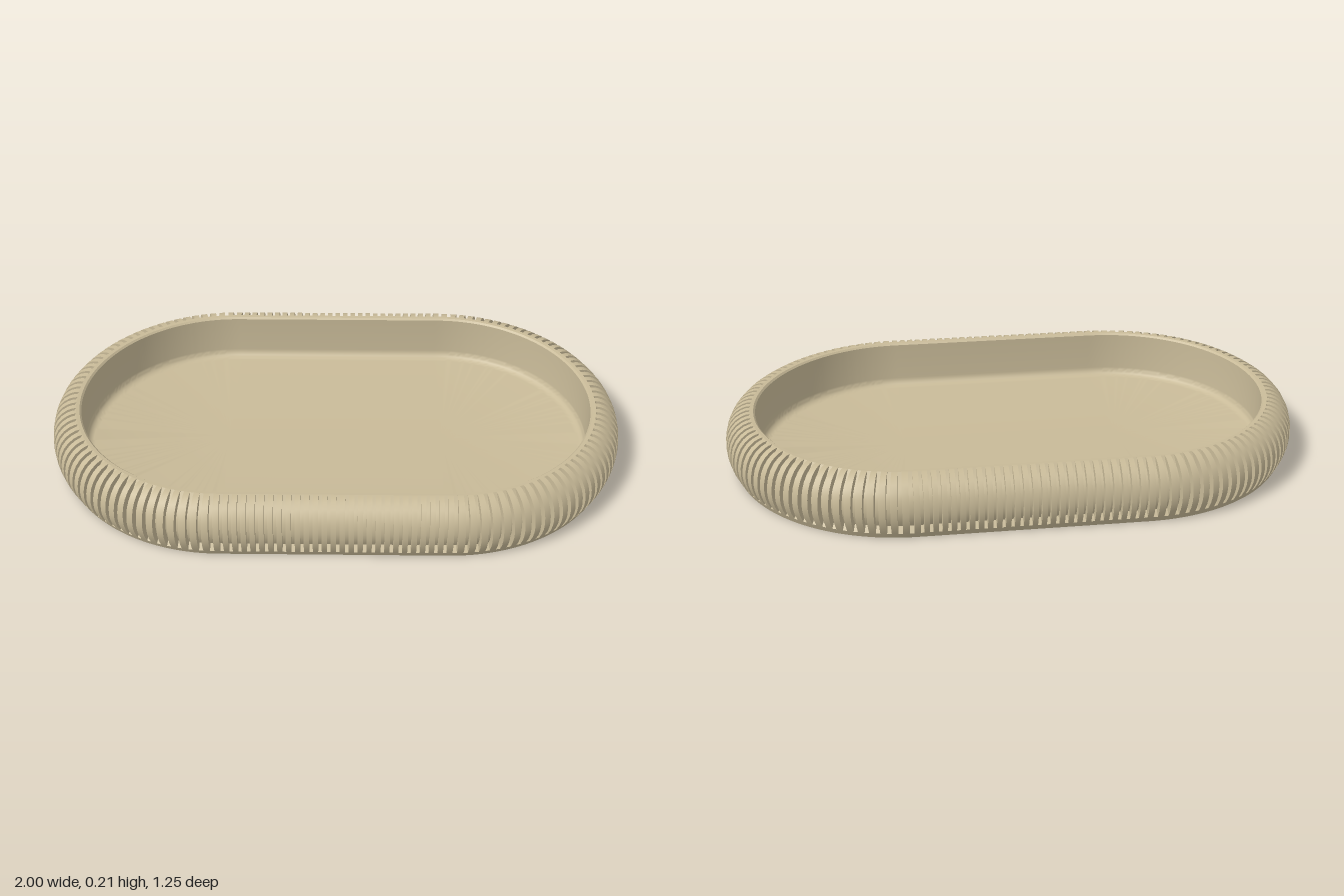
import * as THREE from 'three';
import { toCreasedNormals } from 'three/addons/utils/BufferGeometryUtils.js';

const A = 0.377;                    // half length of the straight sides
const ARC_RIBS = 52, SIDE_RIBS = 26;
const CORE = [0.53, 0.1];           // grooves sink towards this point of the wall section

// Stations round the oval: spine x, outward direction, groove flag
function makeStations() {
  const list = [];
  const run = (count, at) => {
    for (let i = 0; i < count; i++) {
      for (const [f, groove] of [[0, 0], [0.3, 0], [0.3, 1], [0.7, 1], [0.7, 0]]) {
        const [x, angle] = at((i + f) / count);
        list.push({ x, nx: Math.cos(angle), nz: Math.sin(angle), groove });
      }
    }
  };
  const H = Math.PI / 2;
  run(ARC_RIBS, t => [A, -H + t * Math.PI]);
  run(SIDE_RIBS, t => [A - 2 * A * t, H]);
  run(ARC_RIBS, t => [-A, H + t * Math.PI]);
  run(SIDE_RIBS, t => [-A + 2 * A * t, -H]);
  return list;
}

// Sweep a section of [radius, height, groove amount] round the oval
function sweep(section, stations) {
  const positions = [];
  const point = (s, [r, y, k = 0]) => {
    const g = s.groove * k;
    const rr = r + (CORE[0] - r) * g, yy = y + (CORE[1] - y) * g;
    return new THREE.Vector3(s.x + s.nx * rr, yy, s.nz * rr);
  };
  const triangle = (a, b, c) => {
    const area = b.clone().sub(a).cross(c.clone().sub(a)).length();
    if (area > 1e-8) for (const p of [a, b, c]) positions.push(p.x, p.y, p.z);
  };
  stations.forEach((s, i) => {
    const n = stations[(i + 1) % stations.length];
    for (let j = 0; j < section.length - 1; j++) {
      const a = point(s, section[j]), b = point(s, section[j + 1]);
      const c = point(n, section[j]), d = point(n, section[j + 1]);
      triangle(a, b, c);
      triangle(b, d, c);
    }
  });
  const geometry = new THREE.BufferGeometry();
  geometry.setAttribute('position', new THREE.Float32BufferAttribute(positions, 3));
  return toCreasedNormals(geometry, 0.6);
}

export function createModel() {
  const group = new THREE.Group();
  group.name = 'ribbedTray';
  const sand = new THREE.MeshStandardMaterial({ color: 0xc8ba98 });
  sand.name = 'sand';
  const stations = makeStations();

  // Flat underside
  const underside = [[0, 0], [0.592, 0]];

  // Bulging outer wall, grooved from just above the foot to the rim
  const wall = [
    [0.592, 0], [0.602, 0.02], [0.602, 0.02, 0.24], [0.614, 0.045, 0.24],
    [0.621, 0.07, 0.24], [0.623, 0.092, 0.24], [0.621, 0.118, 0.24], [0.614, 0.145, 0.24],
    [0.602, 0.168, 0.24], [0.585, 0.187, 0.24], [0.565, 0.2, 0.22], [0.548, 0.206, 0.14],
    [0.534, 0.207, 0],
  ];

  // Smooth rim, inner wall, rounded corner and floor
  const interior = [[0.534, 0.207], [0.522, 0.206], [0.516, 0.2]];
  const fillet = 0.03, floor = 0.035;
  for (let i = 0; i <= 6; i++) {
    const t = (i / 6) * Math.PI / 2;
    interior.push([0.514 - fillet + fillet * Math.cos(t), floor + fillet - fillet * Math.sin(t)]);
  }
  interior.push([0, floor]);

  for (const [name, section] of Object.entries({ underside, ribbedWall: wall, trayInterior: interior })) {
    const mesh = new THREE.Mesh(sweep(section, stations), sand);
    mesh.name = name;
    group.add(mesh);
  }
  return group;
}
